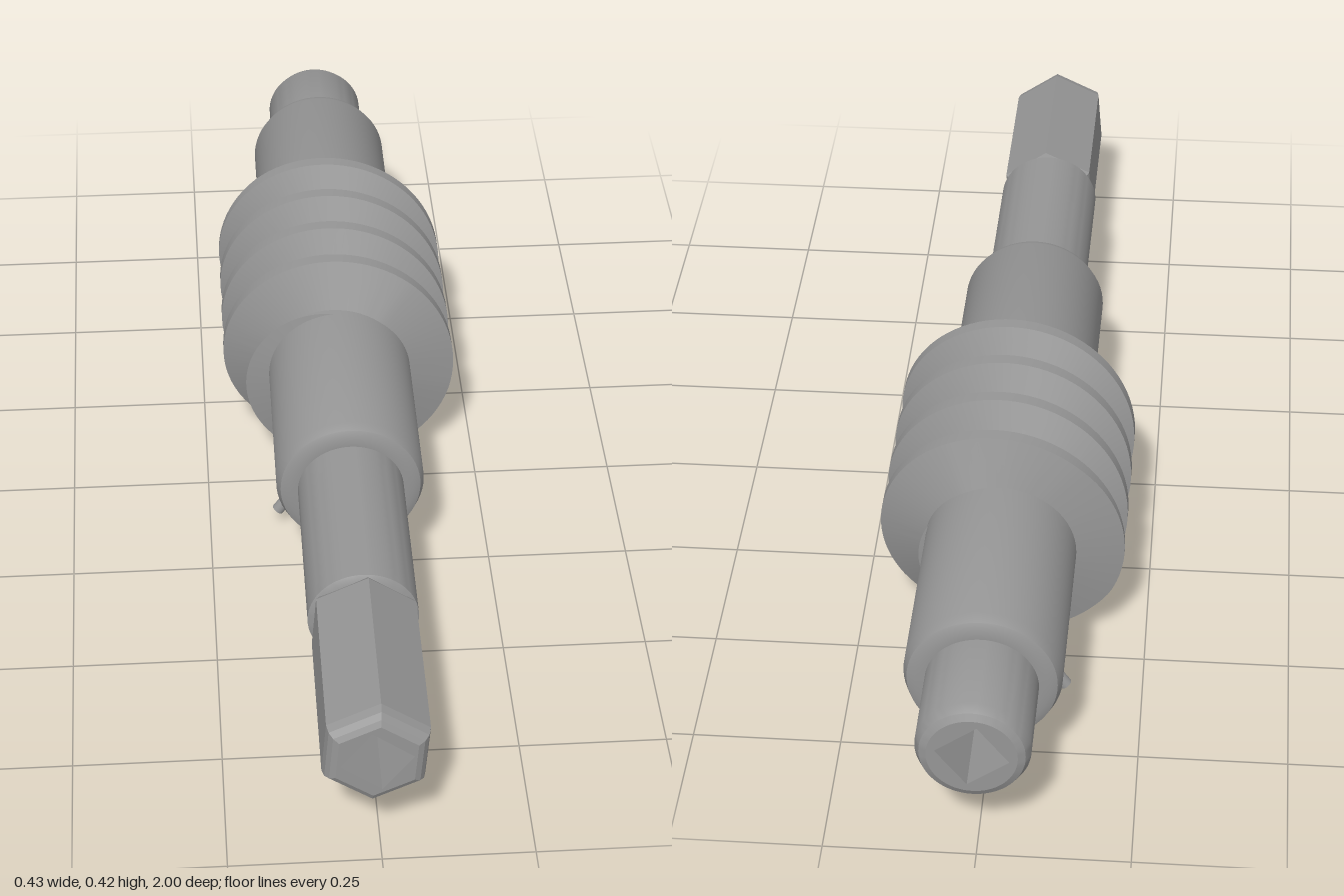
import * as THREE from 'three';
import { toCreasedNormals } from 'three/addons/utils/BufferGeometryUtils.js';

const BORE = 0.06, BORE_ANGLE = 0.14;
const HEX_TURN = -0.08;

const steel = (extra = {}) => new THREE.MeshStandardMaterial({ color: 0x959595, ...extra });

function add(parent, name, geometry, material = steel()) {
  const mesh = new THREE.Mesh(geometry, material);
  mesh.name = name;
  parent.add(mesh);
  return mesh;
}

// Points of a regular polygon, used for end faces and the bore
function polygon(radius, sides, start) {
  return Array.from({ length: sides }, (_, i) => {
    const a = start + (i / sides) * Math.PI * 2;
    return new THREE.Vector2(radius * Math.cos(a), radius * Math.sin(a));
  });
}

// Flat end face pierced by the square bore
function endFace(radius, sides, start) {
  const shape = new THREE.Shape(polygon(radius, sides, start));
  shape.holes.push(new THREE.Path(polygon(BORE, 4, BORE_ANGLE)));
  return new THREE.ShapeGeometry(shape);
}

// Open prism along z between two stations
function prism(r0, r1, z0, z1, sides) {
  return new THREE.CylinderGeometry(r1, r0, z1 - z0, sides, 1, true)
    .rotateX(Math.PI / 2)
    .translate(0, 0, (z0 + z1) / 2);
}

// Helical thread of trapezoid section, cut off by a shallow cone at each end
function threadGeometry() {
  const pitch = 0.11, zFront = -0.044, zRear = -0.476, cone = 0.2;
  const rootR = 0.126, crestR = 0.212, crestW = 0.012, rootW = 0.05;
  const slope = (rootW - crestW) / (crestR - rootR);
  const start = zFront + rootW, end = zRear - rootW, steps = 400;
  const clamp = (z, r) => {
    const inset = cone * (r - rootR);
    return THREE.MathUtils.clamp(z, zRear + inset, zFront - inset);
  };
  const positions = [], index = [];
  for (let i = 0; i <= steps; i++) {
    const zc = THREE.MathUtils.lerp(start, end, i / steps);
    const angle = ((-0.0775 - zc) / pitch) * Math.PI * 2;
    // Height at which the far flank meets the end cone
    const over = Math.max(zc - zFront, zRear - zc);
    const peak = Math.min(crestR, rootR + (rootW - over) / (slope + cone));
    const peakW = crestW + (crestR - peak) * slope;
    const section = [[rootR, rootW], [peak, peakW], [peak, -peakW], [rootR, -rootW]];
    section.forEach(([r, dz], j) => {
      positions.push(r * Math.cos(angle), r * Math.sin(angle), clamp(zc + dz, r));
      if (i < steps && j < 3) {
        const a = i * 4 + j, b = a + 4;
        index.push(a, a + 1, b, b, a + 1, b + 1);
      }
    });
  }
  const geometry = new THREE.BufferGeometry();
  geometry.setAttribute('position', new THREE.Float32BufferAttribute(positions, 3));
  geometry.setIndex(index);
  return toCreasedNormals(geometry, 0.5);
}

export function createModel() {
  const model = new THREE.Group();
  model.name = 'wormShaft';
  const shaft = new THREE.Group();
  shaft.name = 'shaftAssembly';
  shaft.position.set(-0.002, 0.2135, 0);
  shaft.rotation.set(-0.002, -0.0075, 0);
  model.add(shaft);

  // Stepped round shaft with rounded shoulders
  const profile = [
    [0.073, -1], [0.085, -0.994], [0.093, -0.978], [0.093, -0.826],
    [0.11, -0.826], [0.123, -0.82], [0.13, -0.802],
    [0.13, 0.282], [0.123, 0.299], [0.11, 0.305],
    [0.093, 0.305], [0.093, 0.652], [0.08, 0.66], [0.061, 0.66],
  ].map(([r, z]) => new THREE.Vector2(r, z));
  const body = new THREE.LatheGeometry(profile, 64).rotateX(Math.PI / 2);
  add(shaft, 'steppedShaft', toCreasedNormals(body, 0.6));
  add(shaft, 'rearFace', endFace(0.073, 64, 0).rotateY(Math.PI).scale(-1, 1, 1).translate(0, 0, -1),
    steel({ side: THREE.DoubleSide }));

  // Hexagonal drive end with a rounded nose
  const drive = new THREE.Group();
  drive.name = 'hexDrive';
  shaft.add(drive);
  const rings = [[0.087, 0.65], [0.096, 0.664], [0.096, 0.97], [0.092, 0.985], [0.084, 0.995], [0.073, 1]];
  for (let i = 0; i < rings.length - 1; i++) {
    const [r0, z0] = rings[i], [r1, z1] = rings[i + 1];
    add(drive, 'hexSection', prism(r0, r1, z0, z1, 6).rotateZ(HEX_TURN), steel({ flatShading: true }));
  }
  add(drive, 'hexFace', endFace(0.073, 6, Math.PI / 2 + HEX_TURN).translate(0, 0, 1));

  // Square hole through the whole length
  add(shaft, 'squareBore', prism(BORE, BORE, -1, 1, 4).rotateZ(BORE_ANGLE),
    steel({ side: THREE.BackSide, flatShading: true }));

  add(shaft, 'wormThread', threadGeometry(), steel({ side: THREE.DoubleSide }));

  // Thin pins standing out of the lower side
  const direction = new THREE.Vector3(-0.575, -0.818, 0).normalize();
  for (const z of [0.135, -0.615]) {
    const pin = add(shaft, 'pin', new THREE.CylinderGeometry(0.011, 0.011, 0.105, 20));
    pin.quaternion.setFromUnitVectors(new THREE.Vector3(0, 1, 0), direction);
    pin.position.copy(direction).multiplyScalar(0.162).setZ(z);
  }
  return model;
}
